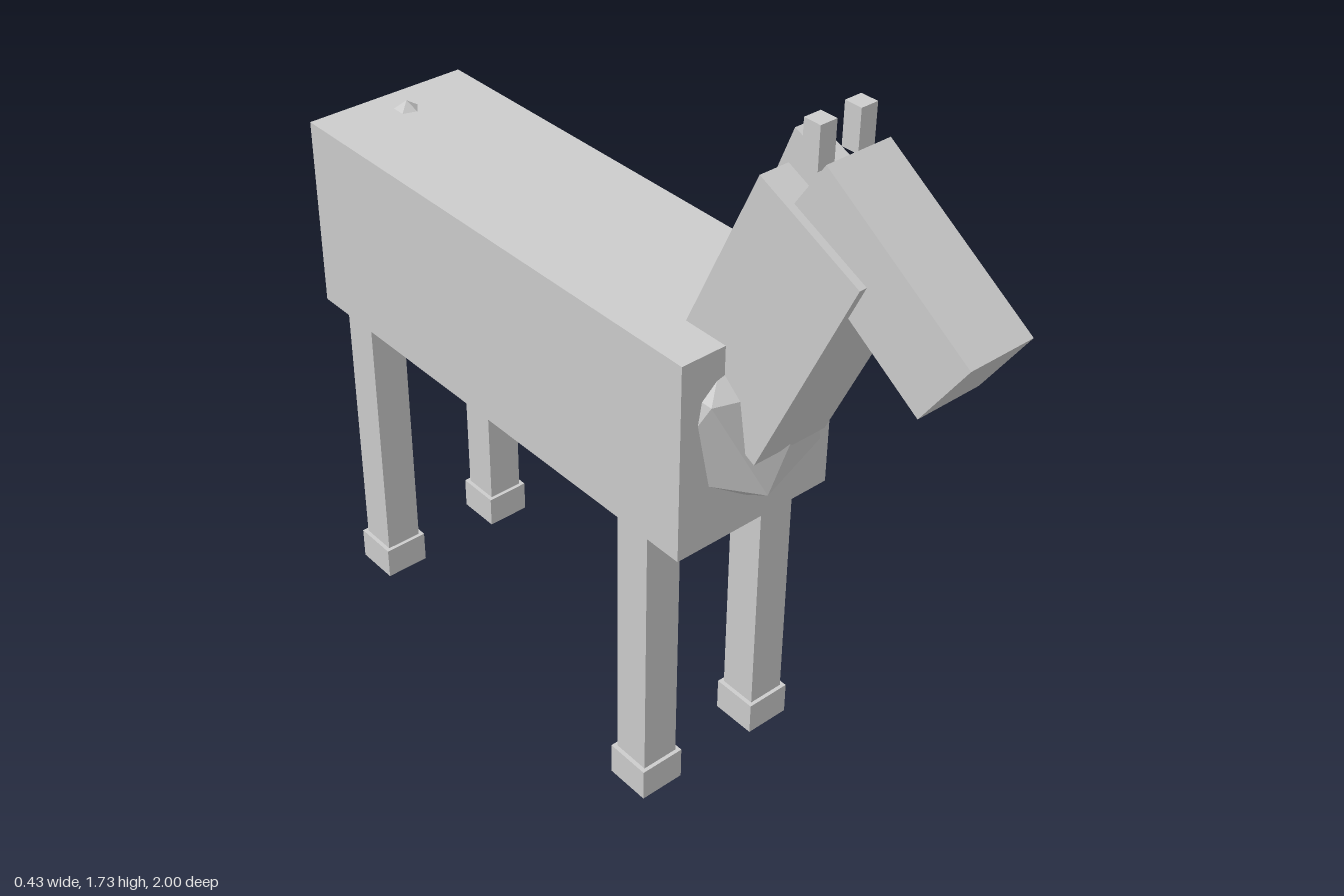
import * as THREE from 'three';
import { ConvexGeometry } from 'three/addons/geometries/ConvexGeometry.js';

export function createModel() {
  const model = new THREE.Group();
  model.name = 'horse';
  const lightGrey = new THREE.MeshStandardMaterial({ color: 0xcccccc, flatShading: true });
  lightGrey.name = 'lightGrey';

  function add(name, geometry, x, y, z, tilt = 0) {
    const mesh = new THREE.Mesh(geometry, lightGrey);
    mesh.name = name;
    mesh.position.set(x, y, z);
    mesh.rotation.x = tilt;
    model.add(mesh);
    return mesh;
  }
  const box = (w, h, d) => new THREE.BoxGeometry(w, h, d);

  // Faceted ball with a vertex at each pole and two rings of five
  function ball(r, h) {
    const points = [new THREE.Vector3(0, h, 0), new THREE.Vector3(0, -h, 0)];
    for (let i = 0; i < 10; i++) {
      const a = THREE.MathUtils.degToRad(18 + i * 36);
      const side = i % 2 ? -1 : 1;
      points.push(new THREE.Vector3(
        Math.sin(a) * r * 0.894, side * h * 0.447, Math.cos(a) * r * 0.894));
    }
    return new ConvexGeometry(points);
  }

  // Trunk with faceted chest and rump
  add('body', box(0.41, 0.47, 1.257), 0, 0.965, -0.193);
  add('chest', ball(0.21, 0.24), 0, 0.988, 0.352);
  add('rump', ball(0.21, 0.232), 0, 0.988, -0.738);

  // Legs and hooves
  for (const [end, z] of [['front', 0.297], ['back', -0.683]]) {
    for (const [side, s] of [['Left', 1], ['Right', -1]]) {
      add(`${end}${side}Leg`, box(0.09, 0.70, 0.092), s * 0.16, 0.39, z);
      add(`${end}${side}Hoof`, box(0.11, 0.08, 0.11), s * 0.16, 0.04, z);
    }
  }

  // Neck, mane and head
  add('neck', box(0.19, 0.56, 0.28), 0, 1.283, 0.515, 0.43);
  add('mane', box(0.05, 0.5, 0.096), 0, 1.42, 0.466, 0.385);
  add('head', box(0.156, 0.184, 0.426), 0, 1.475, 0.7725, 0.585);

  // Ears
  for (const [side, s] of [['left', 1], ['right', -1]]) {
    add(`${side}Ear`, box(0.04, 0.09, 0.04), s * 0.049, 1.685, 0.598);
  }

  // Tapered tail hanging behind the rump
  const length = 0.49;
  const tilt = 0.223;
  add('tail', new THREE.CylinderGeometry(0.041, 0.022, length, 6),
    0, 0.478 + length / 2 * Math.cos(tilt), -0.979 + length / 2 * Math.sin(tilt), tilt);

  return model;
}
